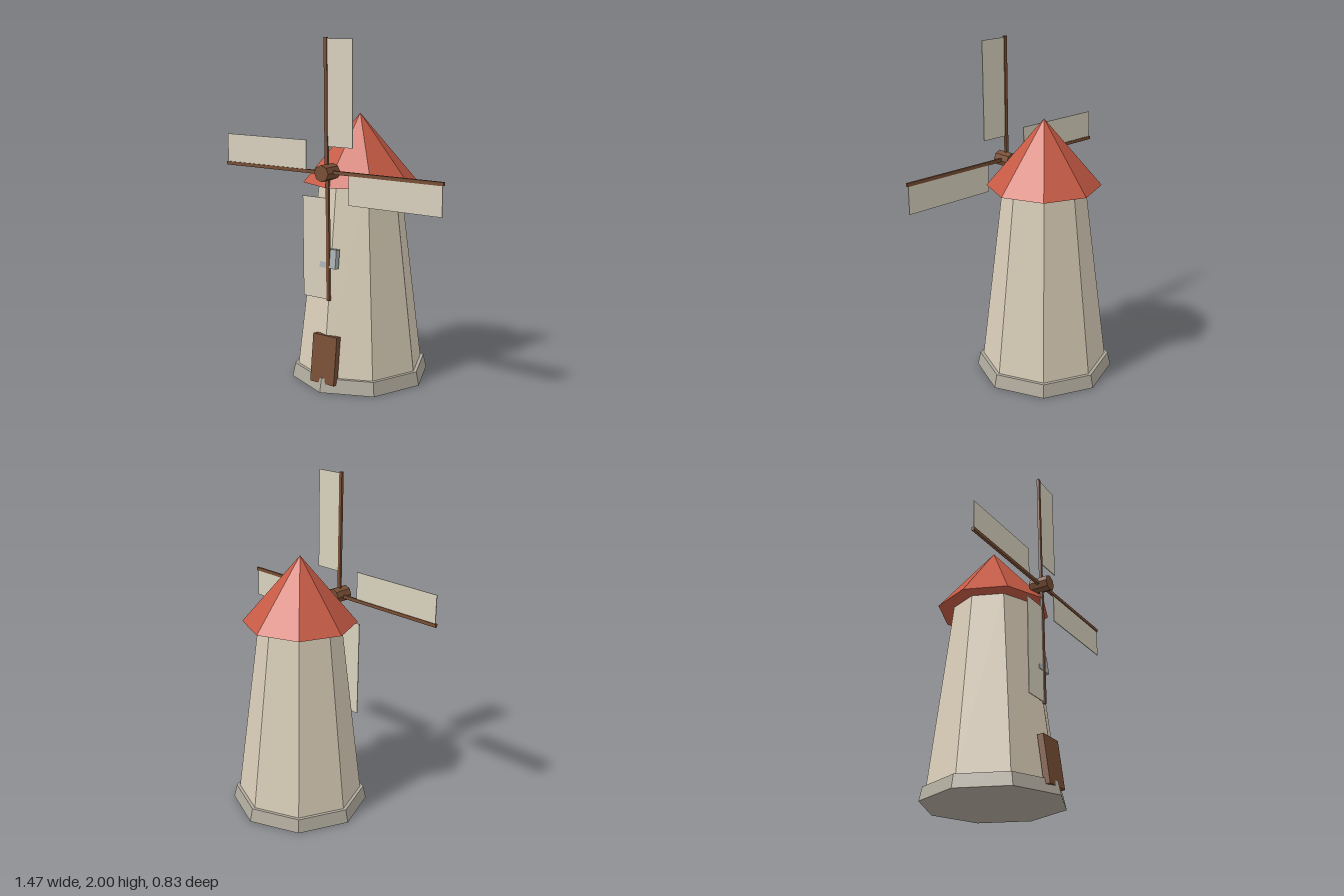
import * as THREE from 'three';

const material = (name, color) => {
  const m = new THREE.MeshStandardMaterial({ color, flatShading: true });
  m.name = name;
  return m;
};

export function createModel() {
  const plaster = material('plaster', 0xd9cdb8);
  const stone = material('stone', 0xb0aa9d);
  const tiles = material('roofTiles', 0xc65a45);
  const wood = material('wood', 0x784e35);
  const canvas = material('sailCanvas', 0xd9d1be);
  const glass = material('windowGlass', 0xa9b0b2);

  const model = new THREE.Group();
  model.name = 'windmill';

  const add = (parent, name, geometry, mat, x, y, z) => {
    const mesh = new THREE.Mesh(geometry, mat);
    mesh.name = name;
    mesh.position.set(x, y, z);
    parent.add(mesh);
    return mesh;
  };

  // Eight-sided body, with a corner facing the front
  const ring = (name, top, bottom, y0, y1, mat) =>
    add(model, name, new THREE.CylinderGeometry(top, bottom, y1 - y0, 8), mat, 0, (y0 + y1) / 2, 0);
  ring('base', 0.395, 0.413, 0, 0.08, stone);
  ring('tower', 0.238, 0.375, 0.08, 1.2, plaster);
  add(model, 'roof', new THREE.ConeGeometry(0.335, 0.395, 8), tiles, 0, 1.3725, 0);

  // Door and window lean back with the tower wall
  const lean = -0.122;
  add(model, 'door', new THREE.BoxGeometry(0.166, 0.28, 0.037), wood, 0, 0.186, 0.357).rotation.x = lean;
  add(model, 'window', new THREE.BoxGeometry(0.108, 0.11, 0.034), glass, 0, 0.77, 0.308).rotation.x = lean;

  // Rotor: hub and four arms, each with a sail on its clockwise side
  const rotor = new THREE.Group();
  rotor.name = 'rotor';
  rotor.position.set(0, 1.263, 0.325);
  model.add(rotor);
  add(rotor, 'hub', new THREE.CylinderGeometry(0.047, 0.047, 0.113, 8), wood, 0, 0, 0).rotation.x = Math.PI / 2;

  for (let i = 0; i < 4; i++) {
    const blade = new THREE.Group();
    blade.name = 'blade' + (i + 1);
    blade.rotation.z = (i * Math.PI) / 2;
    add(blade, 'arm', new THREE.BoxGeometry(0.02, 0.737, 0.015), wood, -0.003, 0.3685, 0);
    add(blade, 'sail', new THREE.BoxGeometry(0.17, 0.585, 0.005), canvas, 0.087, 0.4375, 0);
    rotor.add(blade);
  }

  return model;
}
